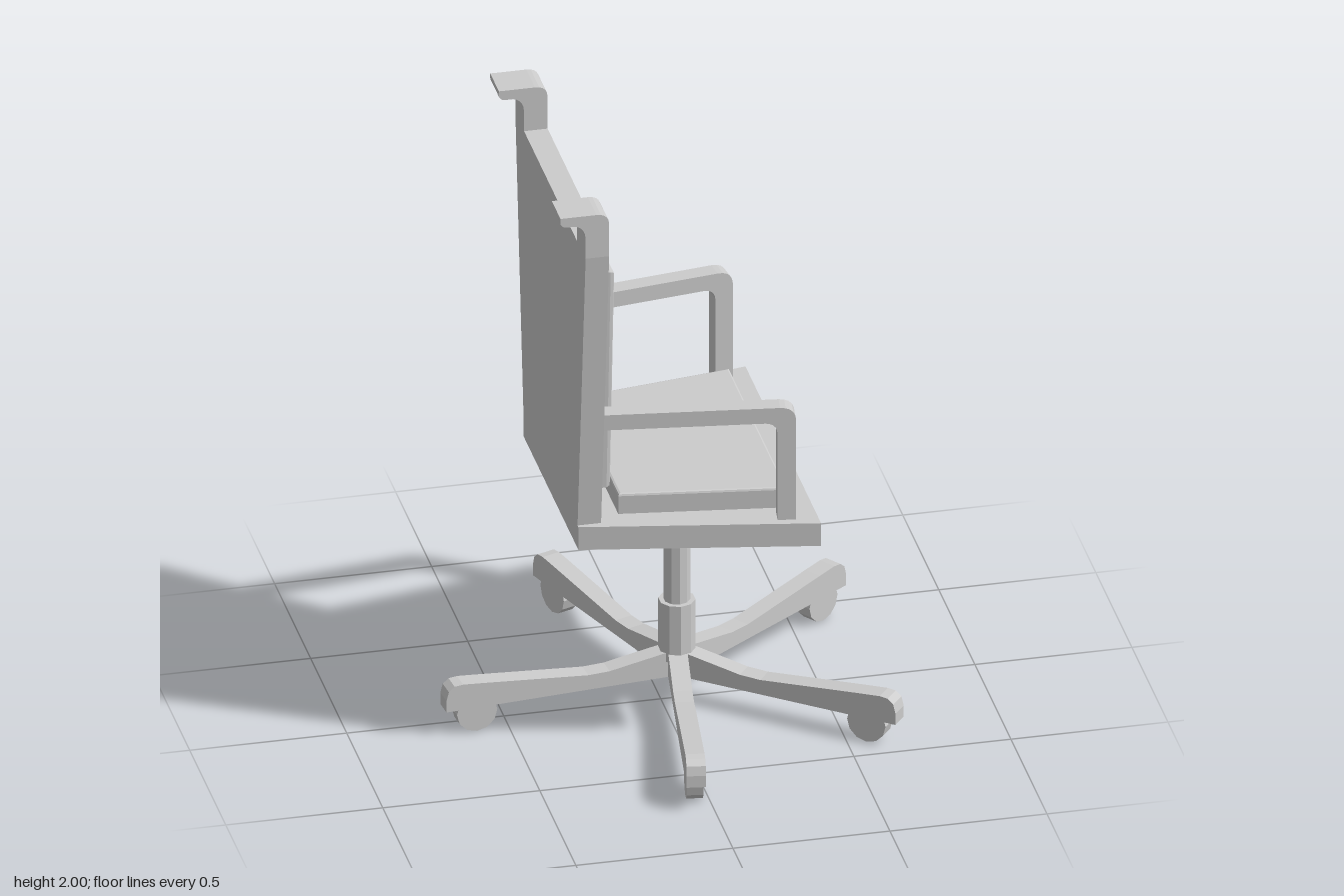
import * as THREE from 'three';

const material = new THREE.MeshStandardMaterial({ color: 0xcccccc, flatShading: true });

function add(parent, name, geometry, x = 0, y = 0, z = 0) {
  const mesh = new THREE.Mesh(geometry, material);
  mesh.name = name;
  mesh.position.set(x, y, z);
  parent.add(mesh);
  return mesh;
}

function polygon(points) {
  return new THREE.Shape(points.map(([x, y]) => new THREE.Vector2(x, y)));
}

// Extrude along z, optionally with a softened rim kept inside the outline
function extrude(shape, depth, bevel = 0) {
  return new THREE.ExtrudeGeometry(shape, {
    depth: depth - bevel, curveSegments: 5,
    bevelEnabled: bevel > 0, bevelThickness: bevel, bevelSize: bevel,
    bevelOffset: -bevel, bevelSegments: 2,
  });
}

// Trapezoid lying flat, given half widths at its rear and front edge
function flatPanel(xRear, xFront, halfRear, halfFront, height, bevel) {
  const shape = polygon([[xRear, -halfRear], [xFront, -halfFront], [xFront, halfFront], [xRear, halfRear]]);
  return extrude(shape, height, bevel).rotateX(-Math.PI / 2);
}

export function createModel() {
  const chair = new THREE.Group();
  chair.name = 'officeChair';

  // Seat
  add(chair, 'seatBoard', flatPanel(-0.35, 0.39, 0.382, 0.525, 0.08, 0), 0, 0.77, 0);
  add(chair, 'seatCushion', flatPanel(-0.21, 0.31, 0.325, 0.4, 0.07, 0.008), 0, 0.85, 0);

  // Backrest, widening upwards
  const back = new THREE.Group();
  back.name = 'backrest';
  back.position.z = -0.005;
  chair.add(back);
  const board = polygon([[-0.375, 0.85], [0.375, 0.85], [0.487, 1.85], [-0.487, 1.85]]);
  add(back, 'backBoard', extrude(board, 0.075).rotateY(Math.PI / 2), -0.35);
  const pad = polygon([[-0.297, 0.93], [0.297, 0.93], [0.356, 1.72], [-0.356, 1.72]]);
  add(back, 'backPad', extrude(pad, 0.05, 0.014).rotateY(Math.PI / 2), -0.276);

  // Scrolled posts curling to the rear at the top of the back
  const horn = new THREE.Shape();
  horn.moveTo(-0.35, 1.85);
  horn.lineTo(-0.275, 1.85);
  horn.lineTo(-0.275, 1.965);
  horn.quadraticCurveTo(-0.277, 2, -0.315, 2);
  horn.lineTo(-0.43, 2);
  horn.quadraticCurveTo(-0.435, 1.968, -0.41, 1.967);
  horn.lineTo(-0.385, 1.967);
  horn.quadraticCurveTo(-0.352, 1.962, -0.35, 1.92);
  for (const side of [1, -1]) {
    add(back, side > 0 ? 'rightPostTop' : 'leftPostTop', extrude(horn, 0.12), 0, 0, side > 0 ? 0.367 : -0.487);
  }

  // Armrests, splayed outwards like the seat edges
  const arm = new THREE.Shape();
  arm.moveTo(-0.02, 1.192);
  arm.lineTo(0.52, 1.192);
  arm.quadraticCurveTo(0.555, 1.19, 0.557, 1.155);
  arm.lineTo(0.557, 0.85);
  arm.lineTo(0.615, 0.85);
  arm.lineTo(0.615, 1.2);
  arm.quadraticCurveTo(0.613, 1.245, 0.565, 1.245);
  arm.lineTo(-0.02, 1.245);
  for (const side of [1, -1]) {
    const geometry = extrude(arm, 0.058).translate(0, 0, -0.029);
    const mesh = add(chair, side > 0 ? 'rightArmrest' : 'leftArmrest', geometry, -0.285, 0, side * 0.372 - 0.002);
    mesh.rotation.y = -side * 0.137;
  }

  // Column
  const base = new THREE.Group();
  base.name = 'base';
  base.position.set(0.055, 0, -0.017);
  chair.add(base);
  add(base, 'column', new THREE.CylinderGeometry(0.042, 0.042, 0.46, 10), 0, 0.55, 0);
  add(base, 'columnSleeve', new THREE.CylinderGeometry(0.058, 0.058, 0.2, 10), 0, 0.24, 0);

  // Five legs with caster wheels; angles run from +x towards +z
  const leg = polygon([
    [0, 0.085], [0.765, 0.085], [0.765, 0.125], [0.757, 0.155], [0.738, 0.171], [0.71, 0.174],
    [0.64, 0.168], [0.3, 0.136], [0.23, 0.138], [0.18, 0.147], [0, 0.178],
  ]);
  for (const degrees of [-36, 38.3, 98.4, 174.2, 249.5]) {
    const spoke = new THREE.Group();
    spoke.name = 'leg';
    spoke.rotation.y = -THREE.MathUtils.degToRad(degrees);
    base.add(spoke);
    add(spoke, 'legBeam', extrude(leg, 0.06).translate(0, 0, -0.03));
    const wheel = new THREE.CylinderGeometry(0.066, 0.066, 0.052, 12).rotateX(Math.PI / 2);
    add(spoke, 'casterWheel', wheel, 0.663, 0.067, 0);
  }

  return chair;
}
